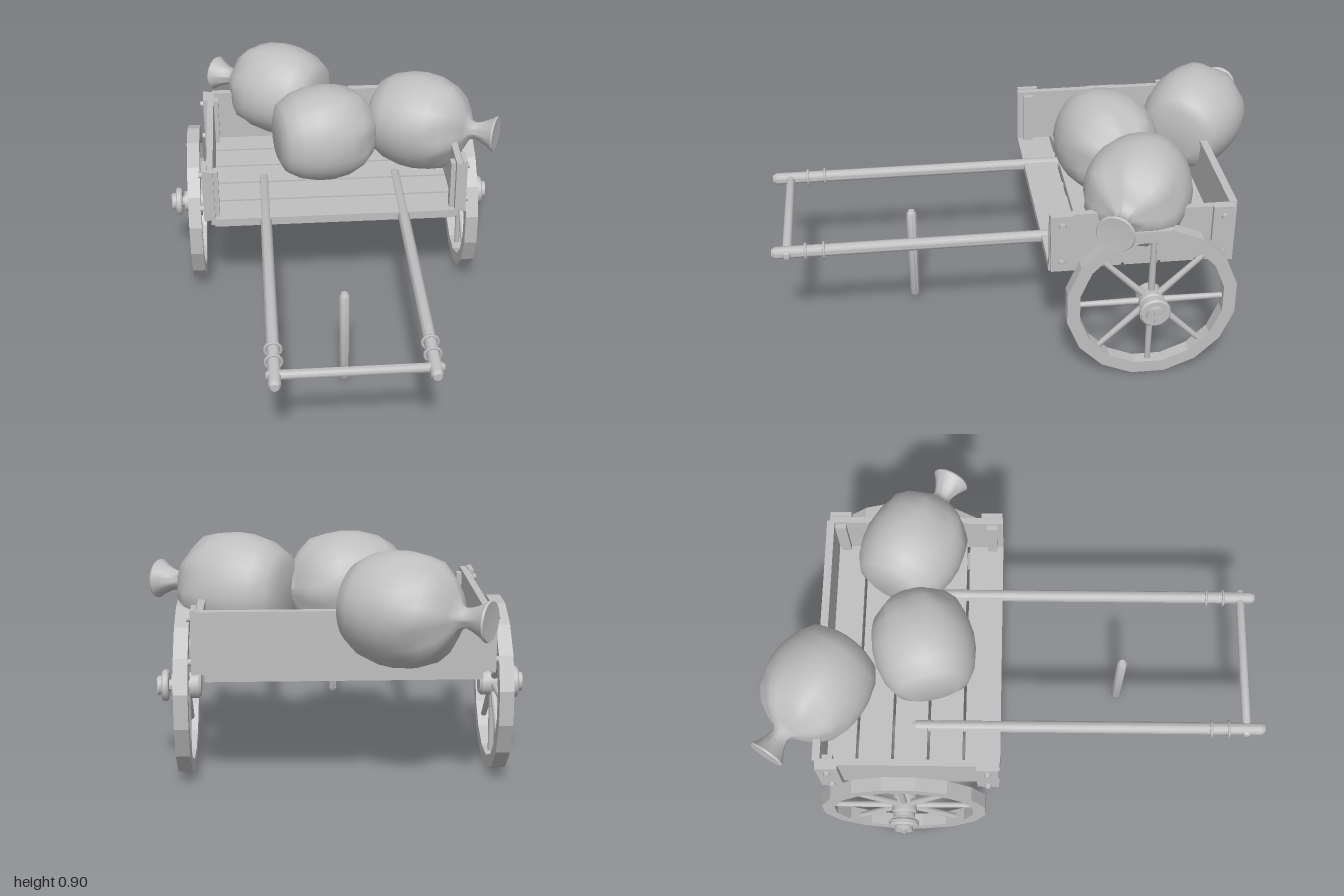
import * as THREE from 'three';
import { toCreasedNormals } from 'three/addons/utils/BufferGeometryUtils.js';

export function createModel() {
  const model = new THREE.Group();
  model.name = 'handcart';
  const grey = new THREE.MeshStandardMaterial({ color: 0xbfbfbf });
  grey.name = 'plain grey';

  const add = (parent, name, geo, x = 0, y = 0, z = 0) => {
    const mesh = new THREE.Mesh(geo, grey);
    mesh.name = name;
    mesh.position.set(x, y, z);
    parent.add(mesh);
    return mesh;
  };
  const box = (parent, name, w, h, d, x, y, z) =>
    add(parent, name, new THREE.BoxGeometry(w, h, d), x, y, z);
  const lathe = (pts, seg, crease) =>
    toCreasedNormals(new THREE.LatheGeometry(pts.map(p => new THREE.Vector2(...p)), seg), crease);
  // Round pole with softened ends, lying along its own y axis
  const pole = (r, len, seg = 10) => lathe([[0, -len / 2], [r * 0.65, -len / 2], [r, -len / 2 + r * 0.6],
    [r, len / 2 - r * 0.6], [r * 0.65, len / 2], [0, len / 2]], seg, 0.7);

  // Cart bed
  const cart = new THREE.Group();
  cart.name = 'cartBed';
  cart.position.x = -0.017;
  model.add(cart);
  for (let i = 0; i < 5; i++) {
    const wide = i === 4 ? 1.02 : 0.985;
    box(cart, 'floorPlank', wide, 0.03, 0.13, 0, 0.451, -0.705 + i * 0.141);
  }
  box(cart, 'frontRail', 0.99, 0.035, 0.012, 0, 0.45, -0.073);
  box(cart, 'backPanel', 1.0, 0.225, 0.02, 0, 0.575, -0.762);
  box(cart, 'backTopRail', 1.0, 0.012, 0.03, 0, 0.686, -0.762);

  // Side panels, straps and bolts
  for (const s of [-1, 1]) {
    box(cart, 'sidePanel', 0.026, 0.225, 0.70, s * 0.506, 0.577, -0.417);
    for (const z of [-0.112, -0.722]) {
      box(cart, 'sideStrap', 0.02, 0.235, 0.085, s * 0.528, 0.577, z);
      box(cart, 'innerPost', 0.02, 0.21, 0.04, s * 0.484, 0.57, z);
      for (const y of [0.495, 0.655]) {
        const bolt = add(cart, 'bolt', new THREE.CylinderGeometry(0.012, 0.014, 0.016, 8), s * 0.544, y, z);
        bolt.rotation.z = -s * Math.PI / 2;
      }
    }
  }

  // Wheels
  const ringPath = (r, PathType) => {
    const pts = [];
    for (let i = 0; i < 16; i++) {
      const a = (i / 16) * Math.PI * 2 + Math.PI / 16;
      pts.push(new THREE.Vector2(Math.cos(a) * r, Math.sin(a) * r));
    }
    return new PathType(pts);
  };
  const rimShape = ringPath(0.33, THREE.Shape);
  rimShape.holes.push(ringPath(0.28, THREE.Path));
  const rimGeo = new THREE.ExtrudeGeometry(rimShape, { depth: 0.052, bevelEnabled: false });
  rimGeo.translate(0, 0, -0.026);
  const hubGeo = lathe([[0, -0.055], [0.042, -0.055], [0.05, -0.045], [0.05, 0.03], [0.043, 0.035],
    [0.043, 0.055], [0.022, 0.055], [0.022, 0.066], [0.054, 0.066], [0.06, 0.072], [0.06, 0.086],
    [0.054, 0.092], [0.036, 0.092], [0.036, 0.108], [0, 0.108]], 16, 0.6);
  hubGeo.rotateX(Math.PI / 2);
  for (const s of [-1, 1]) {
    const wheel = new THREE.Group();
    wheel.name = s > 0 ? 'leftWheel' : 'rightWheel';
    wheel.position.set(-0.017 + s * 0.579, 0.325, -0.45);
    wheel.rotation.y = s * Math.PI / 2;
    model.add(wheel);
    add(wheel, 'rim', rimGeo);
    add(wheel, 'hub', hubGeo);
    box(wheel, 'axlePin', 0.016, 0.06, 0.006, 0, 0, 0.109);
    for (let i = 0; i < 8; i++) {
      const a = i * Math.PI / 4;
      const spoke = add(wheel, 'spoke', new THREE.CylinderGeometry(0.011, 0.014, 0.255, 8),
        -Math.sin(a) * 0.165, Math.cos(a) * 0.165, 0);
      spoke.rotation.z = a;
    }
  }

  // Shafts with their binding rings
  for (const [x, front] of [[-0.303, 0.99], [0.264, 0.975]]) {
    const len = front + 0.42;
    const shaft = add(model, 'shaft', pole(0.024, len), x, 0.451, front - len / 2);
    shaft.rotation.x = Math.PI / 2;
    for (const z of [0.775, 0.845])
      add(model, 'bindingRing', new THREE.TorusGeometry(0.03, 0.006, 6, 14), x, 0.45, z);
  }
  const bar = add(model, 'crossbar', pole(0.018, 0.63), -0.018, 0.45, 0.917);
  bar.rotation.z = Math.PI / 2;
  add(model, 'propLeg', pole(0.02, 0.415, 8), -0.019, 0.222, 0.427);

  // Sacks: turned body with a tied, flared neck and pleats gathered near the tie
  const sackGeo = lathe([[0, -0.2], [0.1, -0.205], [0.145, -0.185], [0.18, -0.13], [0.199, -0.06],
    [0.203, 0], [0.194, 0.07], [0.17, 0.13], [0.13, 0.175], [0.08, 0.205], [0.042, 0.222],
    [0.034, 0.242], [0.042, 0.27], [0.06, 0.305], [0.074, 0.325], [0.07, 0.332], [0, 0.327]], 28, 0);
  const pos = sackGeo.attributes.position;
  for (let i = 0; i < pos.count; i++) {
    const x = pos.getX(i), y = pos.getY(i), z = pos.getZ(i);
    const a = Math.atan2(z, x);
    const pleat = y > 0.1 && y < 0.3 ? 0.05 * Math.cos(7 * a) : 0;
    const square = y < 0.15 ? 0.018 * -Math.cos(4 * a) : 0;
    const k = 1 + pleat + square;
    pos.setXYZ(i, x * k, y, z * k);
  }
  const smoothSack = toCreasedNormals(sackGeo, 0.95);
  const up = new THREE.Vector3(0, 1, 0);
  const sacks = [
    ['leftSack', 0.37, 0.70, -0.42, 0.906, 0.423],
    ['middleSack', -0.04, 0.69, -0.37, 0.975, -0.22],
    ['backSack', -0.22, 0.695, -0.775, -0.85, -0.53],
  ];
  for (const [name, x, y, z, dx, dz] of sacks) {
    const sack = add(model, name, smoothSack, x, y, z);
    sack.quaternion.setFromUnitVectors(up, new THREE.Vector3(dx, 0, dz).normalize());
  }
  return model;
}
